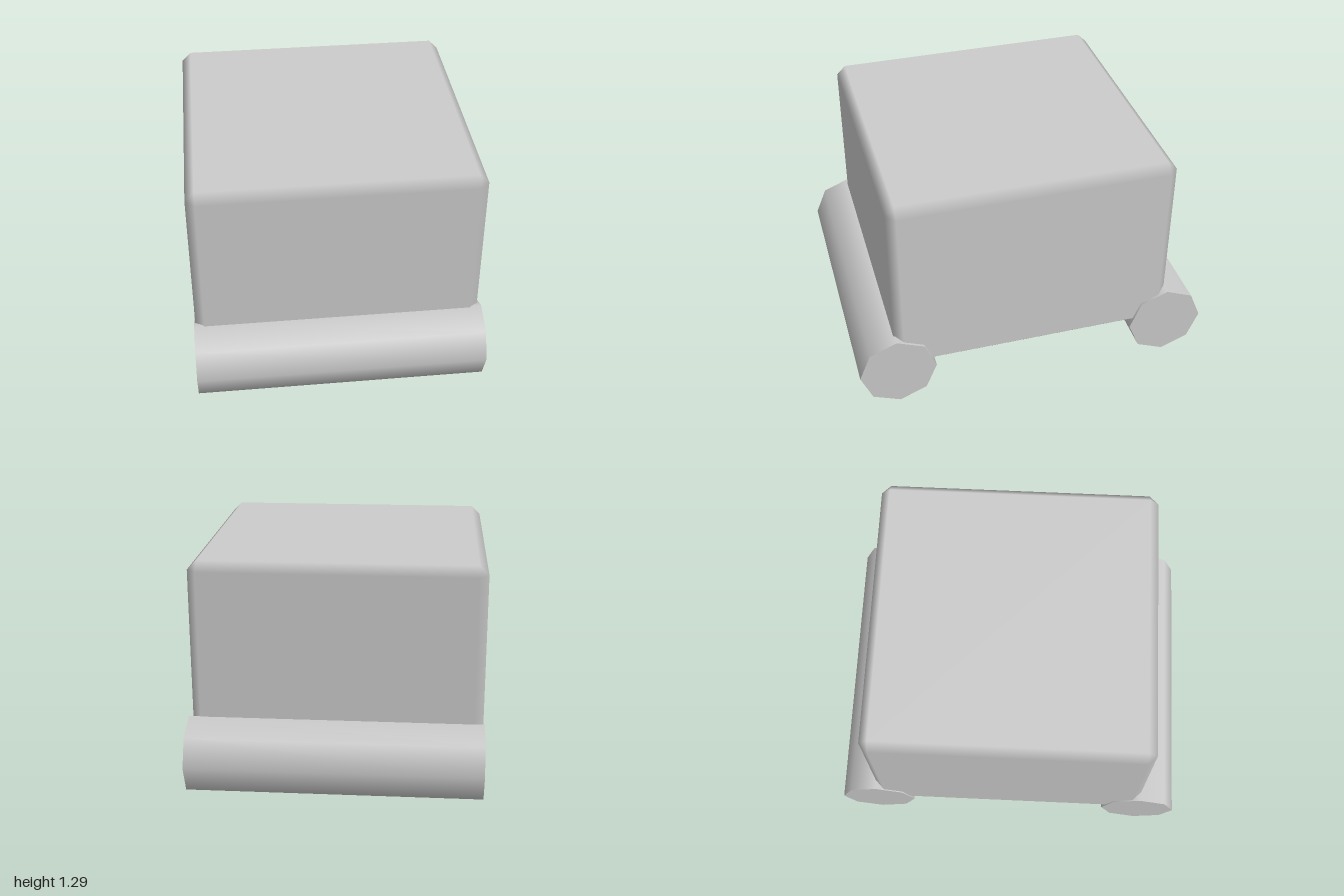
import * as THREE from 'three';
import { ConvexGeometry } from 'three/addons/geometries/ConvexGeometry.js';

// Box with a single bevel on every edge, shaded smoothly across the bevels
function bevelledBox(width, height, depth, bevel) {
  const half = [width / 2, height / 2, depth / 2];
  const points = [];
  for (const sx of [-1, 1]) for (const sy of [-1, 1]) for (const sz of [-1, 1]) {
    const sign = [sx, sy, sz];
    for (let axis = 0; axis < 3; axis++) {
      const p = sign.map((s, i) => s * (half[i] - (i === axis ? 0 : bevel)));
      points.push(new THREE.Vector3(...p));
    }
  }
  const geometry = new ConvexGeometry(points);
  const { position, normal } = geometry.attributes;
  // Each corner point lies on exactly one main face and takes its normal
  for (let i = 0; i < position.count; i++) {
    const p = [position.getX(i), position.getY(i), position.getZ(i)];
    const n = p.map((v, a) => (Math.abs(v) > half[a] - bevel / 2 ? Math.sign(v) : 0));
    normal.setXYZ(i, ...n);
  }
  return geometry;
}

export function createModel() {
  const group = new THREE.Group();
  const material = new THREE.MeshStandardMaterial({ color: 0xcccccc });

  // Body
  const body = new THREE.Mesh(bevelledBox(1.58, 1.075, 1.58, 0.05), material);
  body.name = 'body';
  body.position.set(-0.004, 0.753, 0.003);
  group.add(body);

  // Eight-sided rollers under the front and back edges
  const rollerGeometry = new THREE.CylinderGeometry(0.215, 0.215, 1.6, 8).rotateZ(Math.PI / 2);
  for (const [name, side] of [['frontRoller', 1], ['backRoller', -1]]) {
    const roller = new THREE.Mesh(rollerGeometry, material);
    roller.name = name;
    roller.position.set(0, 0.215, side * 0.785);
    group.add(roller);
  }
  return group;
}
